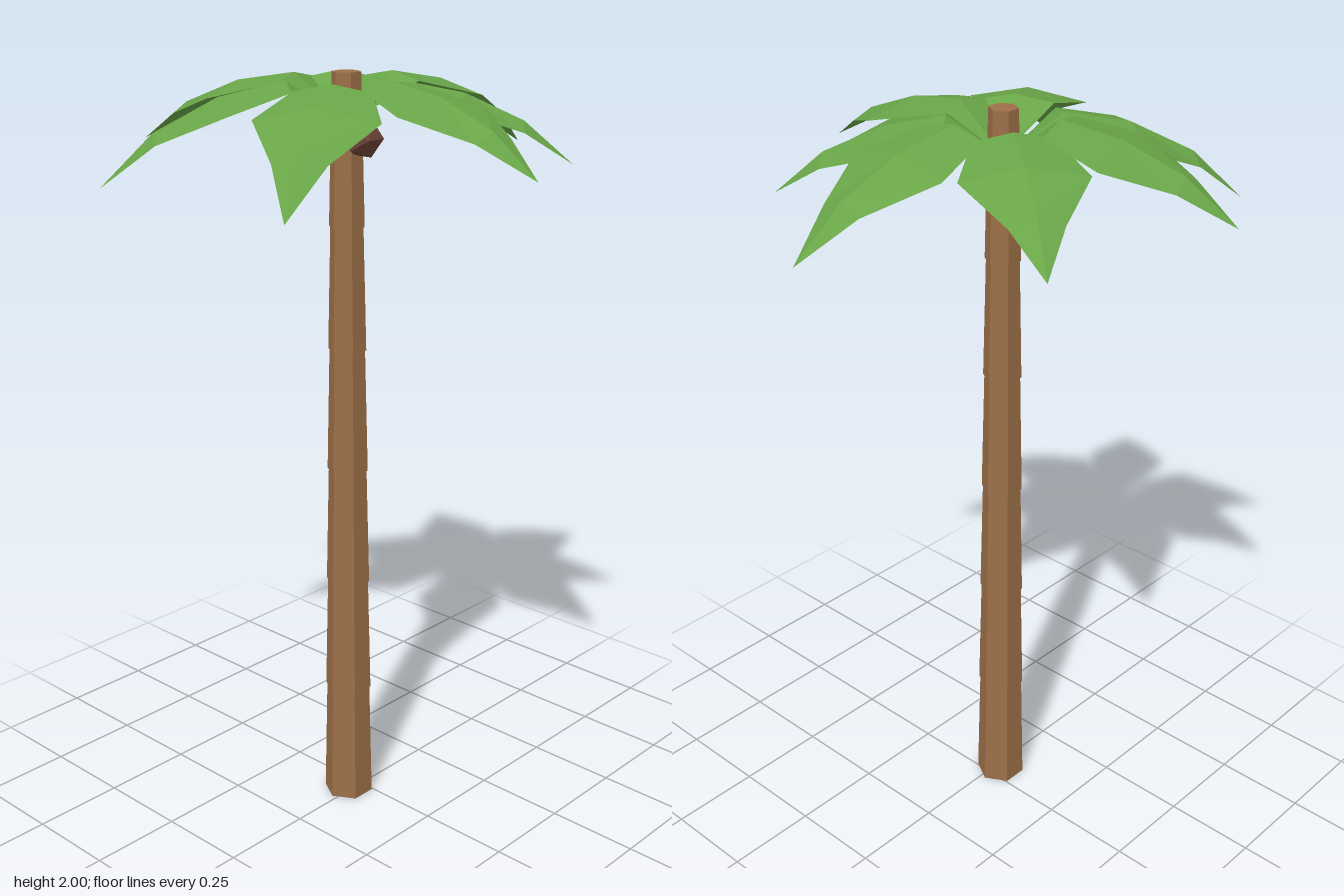
import * as THREE from 'three';

const CX = -0.038, CZ = -0.015; // trunk axis

// One folded frond along +x: [reach, half width, rib height, edge height]
function frondGeometry(length, drop, lift) {
  const s = length / 0.61, top = 1.987 + lift;
  const sections = [
    [0.025, 0.012, 1.90, 1.895],
    [0.15 * s, 0.095, top, top - 0.018],
    [0.315 * s, 0.15, top - drop * 0.14, top - drop * 0.14 - 0.03],
    [0.475 * s, 0.063, top - drop * 0.47, top - drop * 0.47 - 0.022],
    [length, 0, top - drop, top - drop],
  ];
  const pos = [], index = [];
  sections.forEach(([r, w, rib, edge]) => pos.push(r, edge, -w, r, rib, 0, r, edge, w));
  for (let i = 0; i < sections.length - 1; i++) {
    for (let j = 0; j < 2; j++) {
      const a = i * 3 + j, b = a + 1, c = a + 3, d = a + 4;
      if (i < sections.length - 2) index.push(a, b, d, a, d, c);
      else index.push(a, b, d);
    }
  }
  const indexed = new THREE.BufferGeometry();
  indexed.setAttribute('position', new THREE.Float32BufferAttribute(pos, 3));
  indexed.setIndex(index);
  const g = indexed.toNonIndexed();
  g.computeVertexNormals();
  return g;
}

export function createModel() {
  const model = new THREE.Group();
  model.name = 'palmTree';
  const material = (name, color, side = THREE.FrontSide) =>
    new THREE.MeshStandardMaterial({ name, color, side, flatShading: true });
  const bark = material('bark brown', 0x9c7048);
  const leaf = material('leaf green', 0x69a548, THREE.DoubleSide);
  const husk = material('coconut brown', 0x6b4235);

  // Trunk: stacked six-sided segments, each overhanging the one below
  const trunk = new THREE.Group();
  trunk.name = 'trunk';
  const joints = [0, 0.33, 0.65, 0.97, 1.3, 1.62, 2];
  for (let i = 0; i < 6; i++) {
    const h = joints[i + 1] - joints[i];
    const bottom = 0.0675 - 0.0043 * i;
    const geo = new THREE.CylinderGeometry(i === 5 ? 0.037 : bottom - 0.0075, bottom, h, 6);
    geo.rotateY(Math.PI / 2); // corners on the x axis
    const segment = new THREE.Mesh(geo, bark);
    segment.name = 'trunkSegment' + (i + 1);
    segment.position.set(CX, joints[i] + h / 2, CZ);
    trunk.add(segment);
  }
  model.add(trunk);

  // Crown: [tip x, tip y, tip z, lift]
  const crown = new THREE.Group();
  crown.name = 'crown';
  const tips = [
    [-0.203, 1.80, -0.585, 0.004], [0.345, 1.81, -0.488, 0],
    [0.583, 1.77, 0.04, 0.004], [0.317, 1.78, 0.413, -0.008],
    [-0.053, 1.805, 0.583, 0.003], [-0.583, 1.753, 0.319, 0],
    [-0.53, 1.735, -0.371, -0.006],
  ];
  tips.forEach(([x, y, z, lift], i) => {
    const dx = x - CX, dz = z - CZ;
    const geo = frondGeometry(Math.hypot(dx, dz), 1.987 + lift - y, lift);
    const frond = new THREE.Mesh(geo, leaf);
    frond.name = 'frond' + (i + 1);
    frond.position.set(CX, 0, CZ);
    frond.rotation.y = -Math.atan2(dz, dx);
    crown.add(frond);
  });
  model.add(crown);

  // Coconuts around the top of the trunk
  for (let i = 0; i < 3; i++) {
    const a = Math.PI / 2 + i * Math.PI * 2 / 3;
    const nut = new THREE.Mesh(new THREE.IcosahedronGeometry(0.052, 0), husk);
    nut.name = 'coconut' + (i + 1);
    nut.position.set(CX + 0.055 * Math.cos(a), 1.845, CZ + 0.055 * Math.sin(a));
    nut.rotation.y = -a;
    model.add(nut);
  }
  return model;
}
